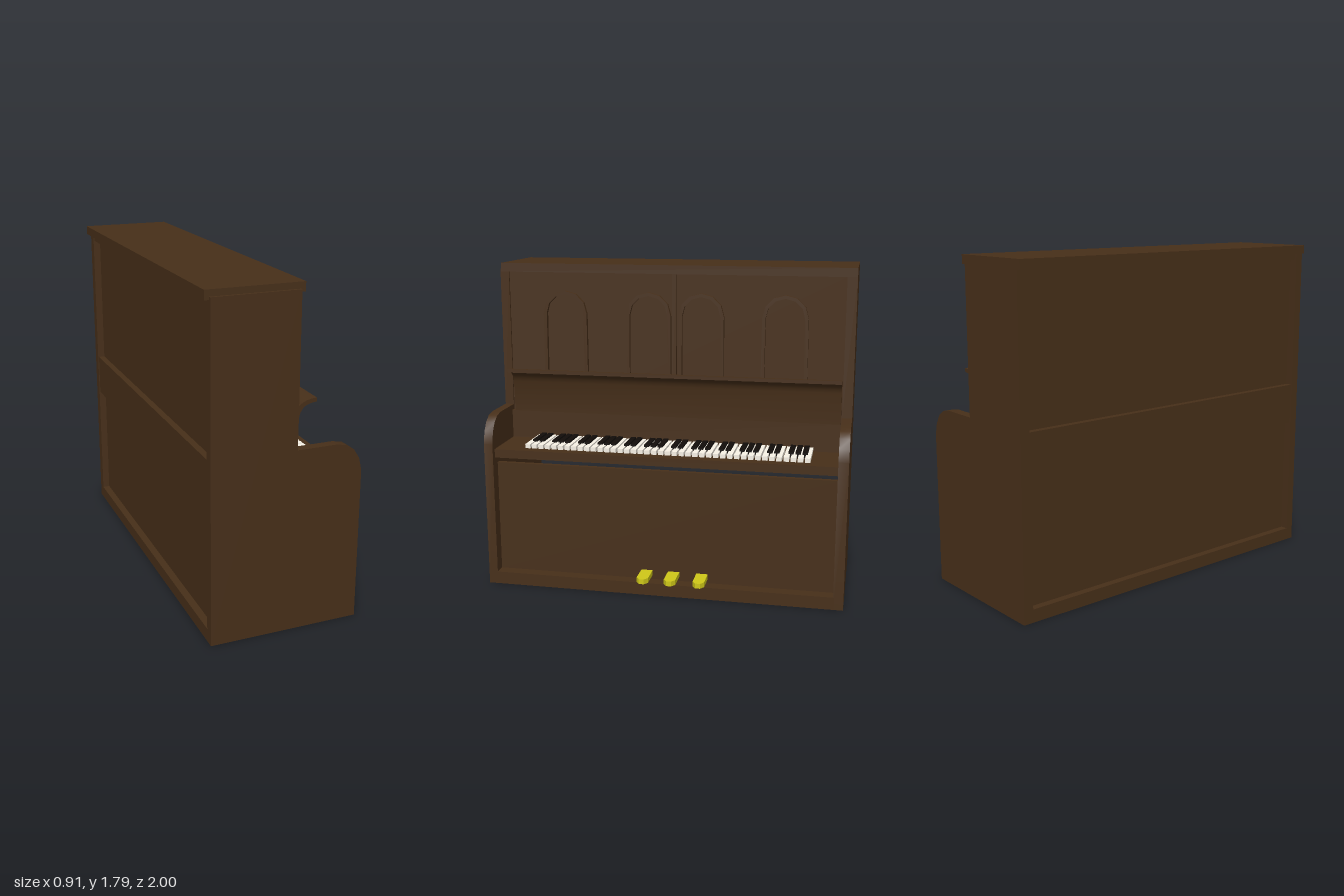
import * as THREE from 'three';
import { toCreasedNormals } from 'three/addons/utils/BufferGeometryUtils.js';

const mat = (color) => new THREE.MeshStandardMaterial({ color });

export function createModel() {
  const piano = new THREE.Group();
  piano.name = 'uprightPiano';
  const wood = mat(0x472f19), ivory = mat(0xf8f2e6), ebony = mat(0x120d09), brass = mat(0xcfc818);

  const add = (name, geometry, material, parent = piano) => {
    const mesh = new THREE.Mesh(geometry, material);
    mesh.name = name;
    parent.add(mesh);
    return mesh;
  };
  // Box given by its limits on each axis
  const box = (name, x0, x1, y0, y1, z0, z1, material = wood, parent = piano) => {
    const mesh = add(name, new THREE.BoxGeometry(x1 - x0, y1 - y0, z1 - z0), material, parent);
    mesh.position.set((x0 + x1) / 2, (y0 + y1) / 2, (z0 + z1) / 2);
    return mesh;
  };
  // Side profile (x, y) swept along z, smooth along its curves
  const sweep = (name, shape, z0, z1, curveSegments) => {
    const geometry = new THREE.ExtrudeGeometry(shape, { depth: z1 - z0, bevelEnabled: false, curveSegments });
    geometry.translate(0, 0, z0);
    return add(name, toCreasedNormals(geometry, 0.6), wood);
  };

  // Side panels with rounded arms
  const side = new THREE.Shape();
  side.moveTo(-0.43, 0);
  side.lineTo(0.375, 0);
  side.lineTo(0.375, 0.82);
  side.bezierCurveTo(0.365, 0.92, 0.31, 0.975, 0.23, 0.975);
  side.lineTo(0.02, 0.975);
  side.lineTo(0.02, 1.76);
  side.lineTo(-0.43, 1.76);
  side.closePath();
  sweep('leftSidePanel', side, 0.95, 1, 4);
  sweep('rightSidePanel', side, -1, -0.945, 4);

  // Lid
  box('lid', -0.455, 0.045, 1.745, 1.793, -1, 0.986);

  // Hollow lower cabinet, open in a slot under the key bed
  box('base', -0.43, 0.375, 0, 0.07, -0.95, 0.95);
  box('lowerFrontPanel', 0.28, 0.308, 0.07, 0.7, -0.95, 0.95);
  const back = add('lowerBackPanel', new THREE.PlaneGeometry(1.9, 0.67), wood);
  back.rotation.y = -Math.PI / 2;
  back.position.set(-0.39, 0.405, 0);

  // Key bed, upper cabinet and the board behind the keys
  box('keyBed', -0.39, 0.345, 0.737, 0.785, -0.95, 0.95);
  box('upperCabinet', -0.39, 0.01, 0.785, 1.745, -0.95, 0.95);
  box('fallboard', 0.01, 0.045, 0.785, 0.945, -0.95, 0.95);

  // Back rails
  box('backMiddleRail', -0.425, -0.39, 0.737, 0.97, -0.95, 0.95);
  box('backTopRail', -0.425, -0.39, 1.71, 1.745, -0.95, 0.95);

  // Music shelf, curling forward at the top
  const shelf = new THREE.Shape();
  shelf.moveTo(0.01, 0.945);
  shelf.lineTo(0.048, 0.945);
  shelf.lineTo(0.058, 1.12);
  shelf.bezierCurveTo(0.07, 1.17, 0.1, 1.18, 0.15, 1.185);
  shelf.lineTo(0.15, 1.205);
  shelf.bezierCurveTo(0.09, 1.205, 0.05, 1.18, 0.03, 1.14);
  shelf.lineTo(0.01, 1.12);
  shelf.closePath();
  sweep('musicShelf', shelf, -0.94, 0.93, 6);

  // Upper front: centre post and four arched mouldings
  box('centrePost', 0.01, 0.028, 1.12, 1.745, -0.02, 0.003);
  const archOutline = (path, r, foot) => {
    path.moveTo(r + 0.002, foot);
    path.lineTo(r, 1.515);
    path.absellipse(0, 1.515, r, r, 0, Math.PI, false);
    path.lineTo(-r - 0.002, foot);
    path.closePath();
    return path;
  };
  for (const z of [0.62, 0.138, -0.16, -0.622]) {
    const arch = archOutline(new THREE.Shape(), 0.126, 1.12);
    arch.holes.push(archOutline(new THREE.Path(), 0.107, 1.135));
    const geometry = new THREE.ExtrudeGeometry(arch, { depth: 0.025, bevelEnabled: false, curveSegments: 3 });
    geometry.rotateY(Math.PI / 2);
    add('archMoulding', geometry, wood).position.set(0.008, 0, z);
  }

  // Keyboard: six octaves, bass at the player's left
  const keyboard = new THREE.Group();
  keyboard.name = 'keyboard';
  piano.add(keyboard);
  const pitch = 1.595 / 42;
  for (let i = 0; i < 42; i++) {
    const z = 0.79 - i * pitch;
    box('whiteKey', 0.045, 0.288, 0.785, 0.808, z - pitch + 0.009, z, ivory, keyboard);
    const note = i % 7;
    if (note !== 2 && note !== 6) {
      const edge = z - pitch + 0.0045;
      box('blackKey', 0.045, 0.215, 0.79, 0.818, edge - 0.014, edge + 0.014, ebony, keyboard);
    }
  }

  // Pedals with tapered tips
  for (const z of [0.09, -0.062, -0.222]) {
    const outline = new THREE.Shape([
      [0.29, -0.032], [0.425, -0.032], [0.452, -0.014], [0.452, 0.014], [0.425, 0.032], [0.29, 0.032],
    ].map(([x, y]) => new THREE.Vector2(x, y)));
    const geometry = new THREE.ExtrudeGeometry(outline, { depth: 0.028, bevelEnabled: false });
    geometry.rotateX(-Math.PI / 2);
    add('pedal', geometry, brass).position.set(0, 0.094, z);
  }

  return piano;
}
